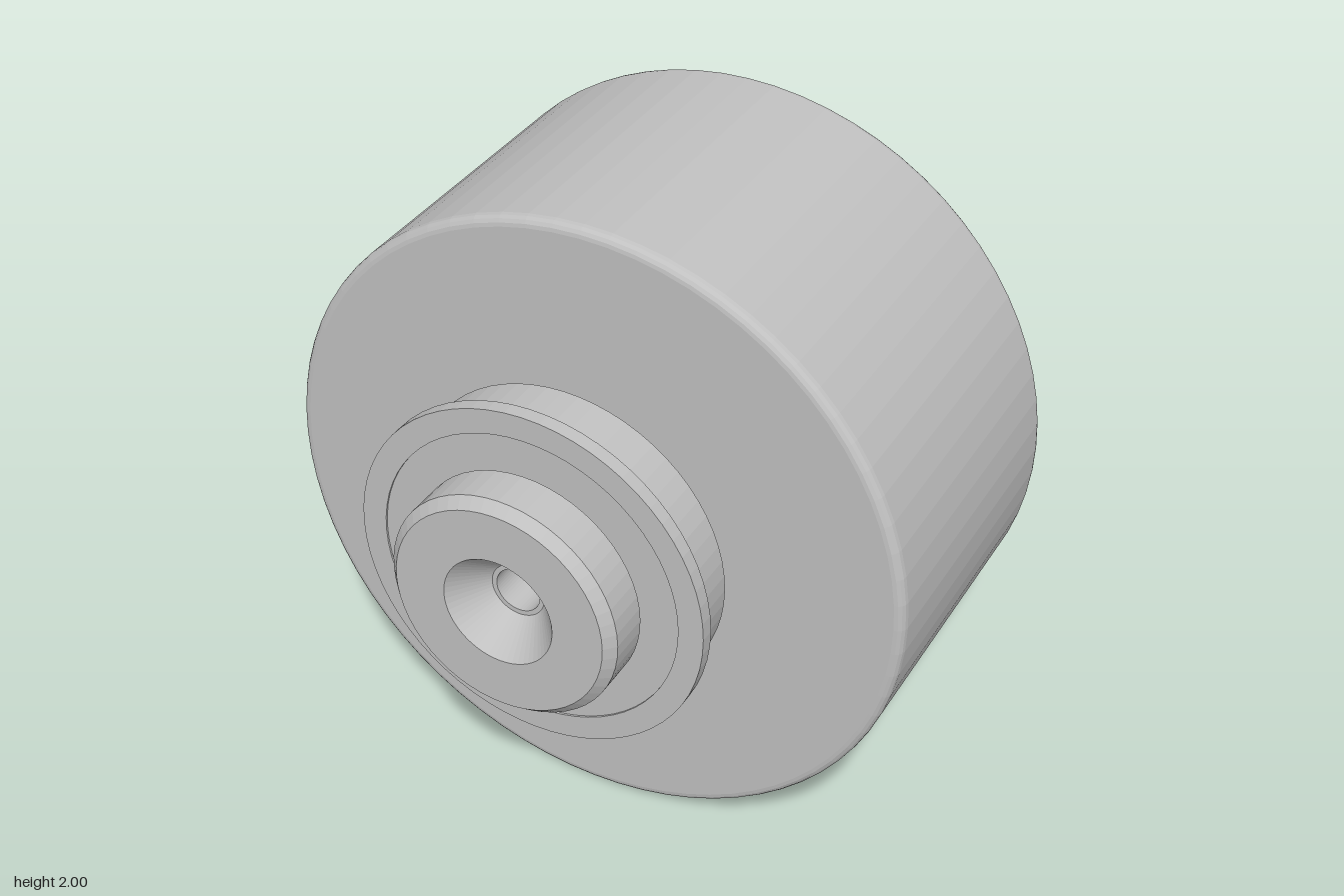
import * as THREE from 'three';

const grey = new THREE.MeshStandardMaterial({ color: 0xc0c0c0 });

// Separate the faces so each facet has its own normal
function facet(geometry) {
  const flat = geometry.toNonIndexed();
  flat.computeVertexNormals();
  return flat;
}

// Closed [radius, z] profile turned around the z axis
function turned(name, profile, segments) {
  const points = [...profile, profile[0]].map(([r, z]) => new THREE.Vector2(r, z));
  const geometry = new THREE.LatheGeometry(points, segments);
  geometry.rotateX(Math.PI / 2);
  const mesh = new THREE.Mesh(facet(geometry), grey);
  mesh.name = name;
  return mesh;
}

// Outline radius of a disc with two round-ended ears along x
function earedRadius(angle, disc, earHalfWidth, earCentre) {
  const c = Math.abs(Math.cos(angle)), s = Math.abs(Math.sin(angle));
  let ear = s > 1e-6 ? earHalfWidth / s : Infinity;
  if (ear * c > earCentre) {
    ear = earCentre * c + Math.sqrt(Math.max(0, earHalfWidth ** 2 - (earCentre * s) ** 2));
  }
  return Math.max(disc, ear);
}

// Chamfered boss with a hole, facing -z
function earedBoss() {
  const n = 128;
  const loops = [
    { z: -0.95, radius: (a) => earedRadius(a, 0.165, 0.06, 0.18) },
    { z: -0.96, radius: (a) => earedRadius(a, 0.165, 0.06, 0.18) },
    { z: -0.995, radius: (a) => earedRadius(a, 0.13, 0.028, 0.177) },
    { z: -0.995, radius: () => 0.085 },
    { z: -0.95, radius: () => 0.085 },
  ];
  const positions = [], index = [];
  for (const { z, radius } of loops) {
    for (let i = 0; i < n; i++) {
      const a = (i / n) * Math.PI * 2, r = radius(a);
      positions.push(r * Math.cos(a), r * Math.sin(a), z);
    }
  }
  for (let l = 0; l < loops.length - 1; l++) {
    for (let i = 0; i < n; i++) {
      const j = (i + 1) % n, a = l * n, b = a + n;
      index.push(a + i, b + i, a + j, b + i, b + j, a + j);
    }
  }
  const geometry = new THREE.BufferGeometry();
  geometry.setAttribute('position', new THREE.Float32BufferAttribute(positions, 3));
  geometry.setIndex(index);
  const mesh = new THREE.Mesh(facet(geometry), grey);
  mesh.name = 'earedBoss';
  return mesh;
}

export function createModel() {
  const model = new THREE.Group();
  model.name = 'rollerAssembly';

  // Wide roller with rounded rims
  const rim = 0.03, back = -0.48, front = 0.53, profile = [[0.25, back]];
  for (const [z, start] of [[back + rim, -90], [front - rim, 0]]) {
    for (let k = 0; k <= 4; k++) {
      const a = THREE.MathUtils.degToRad(start + k * 22.5);
      profile.push([1 - rim + rim * Math.cos(a), z + rim * Math.sin(a)]);
    }
  }
  profile.push([0.25, front]);
  const roller = turned('roller', profile, 72);
  roller.position.y = 1;
  model.add(roller);

  // Axle parts share a centre line slightly off the roller's
  const axle = new THREE.Group();
  axle.name = 'axle';
  axle.position.set(-0.015, 1.015, 0);
  model.add(axle);

  // Spindle with chamfered end caps, countersink and through bore
  axle.add(turned('spindle', [
    [0.07, -0.957], [0.333, -0.957], [0.363, -0.925], [0.363, -0.807], [0.317, -0.807],
    [0.317, 0.837], [0.363, 0.837], [0.363, 0.963], [0.333, 0.995],
    [0.175, 0.995], [0.085, 0.885], [0.07, 0.885],
  ], 56));

  // Flanged bearings, each with a fine seam in its outer face
  for (const [name, side] of [['frontBearing', 1], ['backBearing', -1]]) {
    const bearing = turned(name, [
      [0.3, 0.595], [0.507, 0.595], [0.507, 0.77], [0.555, 0.77], [0.555, 0.815],
      [0.477, 0.815], [0.477, 0.809], [0.3, 0.809],
    ], 64);
    if (side < 0) bearing.rotation.y = Math.PI;
    bearing.position.z = 0.016;
    axle.add(bearing);
  }

  // Raised boss on the back cap
  axle.add(earedBoss());
  return model;
}
